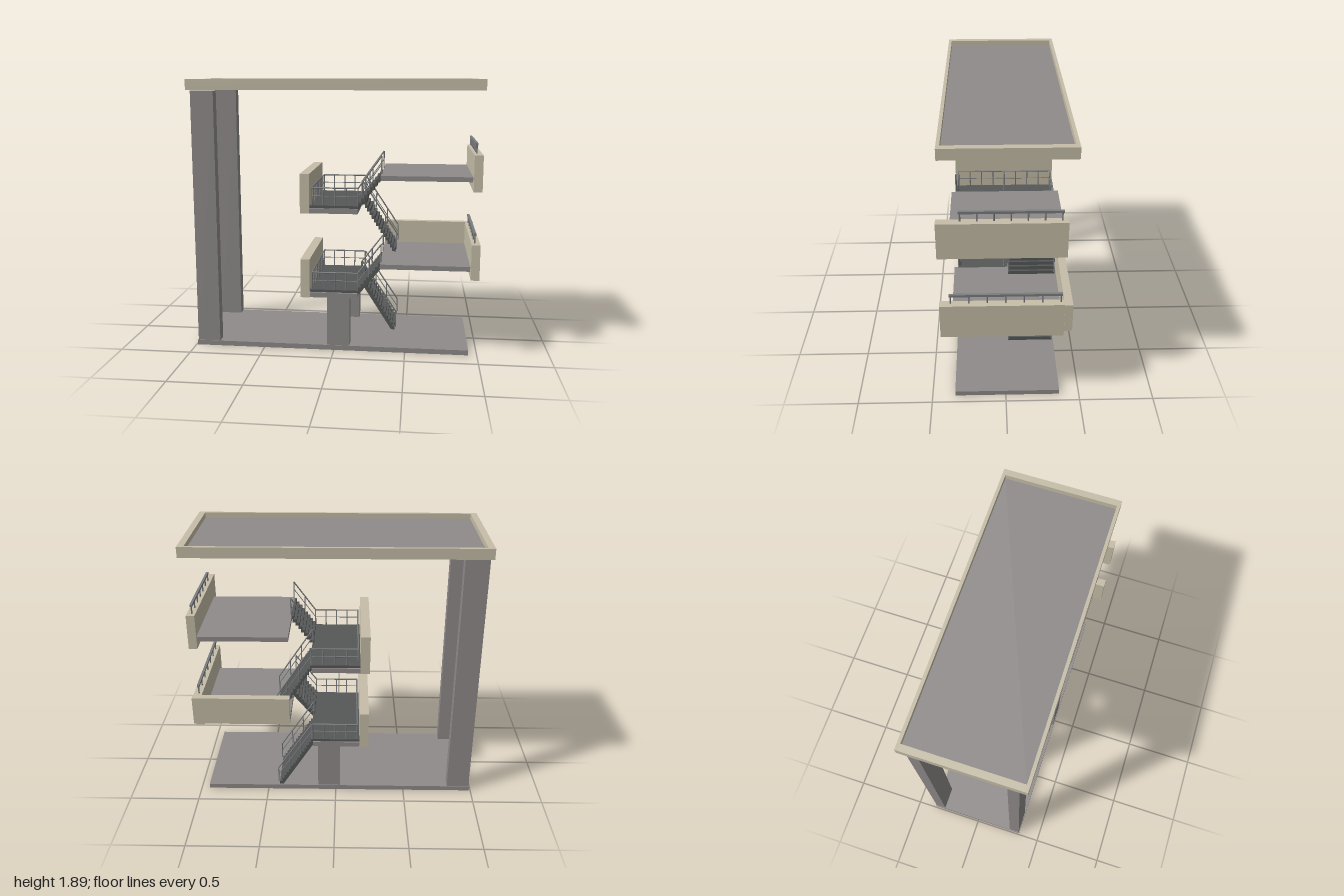
import * as THREE from 'three';

const mat = (name, color) => {
  const m = new THREE.MeshStandardMaterial({ color });
  m.name = name;
  return m;
};

export function createModel() {
  const root = new THREE.Group();
  root.name = 'stairBuilding';
  const concrete = mat('concreteGray', 0x8f8b8a);
  const cladding = mat('sandCladding', 0xc6bea8);
  const darkStep = mat('darkStep', 0x565858);
  const metal = mat('railMetal', 0x7b7d7f);

  // Box from its extents
  const box = (name, material, [x0, x1], [y0, y1], [z0, z1], parent = root) => {
    const mesh = new THREE.Mesh(new THREE.BoxGeometry(x1 - x0, y1 - y0, z1 - z0), material);
    mesh.position.set((x0 + x1) / 2, (y0 + y1) / 2, (z0 + z1) / 2);
    mesh.name = name;
    parent.add(mesh);
    return mesh;
  };

  // Round bar between two points
  const bar = (name, a, b, r, parent) => {
    const p = new THREE.Vector3(...a), q = new THREE.Vector3(...b);
    const dir = q.clone().sub(p);
    const mesh = new THREE.Mesh(new THREE.CylinderGeometry(r, r, dir.length(), 8), metal);
    mesh.position.copy(p).add(q).multiplyScalar(0.5);
    mesh.quaternion.setFromUnitVectors(new THREE.Vector3(0, 1, 0), dir.normalize());
    mesh.name = name;
    parent.add(mesh);
  };

  // Handrail, middle rail and posts following a floor line from a to b
  const railing = (a, b, posts, parent) => {
    const up = (p, h) => [p[0], p[1] + h, p[2]];
    bar('handrail', up(a, 0.123), up(b, 0.123), 0.005, parent);
    bar('middleRail', up(a, 0.065), up(b, 0.065), 0.003, parent);
    for (let i = 0; i < posts; i++) {
      const t = i / (posts - 1);
      const p = a.map((v, k) => v + (b[k] - v) * t);
      bar('railPost', p, up(p, 0.123), 0.004, parent);
    }
  };

  // Stair flight as an extruded stepped profile, with a flat or stepped underside
  const flight = (name, [x0, y0], [x1, y1], [z0, z1], n, flat, parent) => {
    const run = (x1 - x0) / n, rise = (y1 - y0) / n;
    const pts = [[x0, y0]];
    for (let i = 0; i < n; i++) {
      pts.push([x0 + i * run, y0 + (i + 1) * rise], [x0 + (i + 1) * run, y0 + (i + 1) * rise]);
    }
    const under = flat
      ? [[x1, y1 - rise * 1.5], [x0 + run * 0.5, y0 - rise]]
      : pts.map(([x, y]) => [x + run * 0.5, y - rise * 0.8]).reverse();
    const shape = new THREE.Shape(pts.concat(under).map(([x, y]) => new THREE.Vector2(x, y)));
    const mesh = new THREE.Mesh(
      new THREE.ExtrudeGeometry(shape, { depth: z1 - z0, bevelEnabled: false }), darkStep);
    mesh.position.z = z0;
    mesh.name = name;
    parent.add(mesh);
  };

  // Ground slab and tall columns
  box('groundSlab', concrete, [-0.99, 0.94], [0, 0.035], [-0.365, 0.345]);
  for (const z of [[0.265, 0.34], [-0.36, -0.285]]) {
    box('tallColumn', concrete, [-0.985, -0.825], [0.035, 1.815], z);
  }
  // Short columns under the first landing
  box('frontLandingColumn', concrete, [-0.05, 0.11], [0.035, 0.385], [0.26, 0.34]);
  box('backLandingColumn', concrete, [-0.03, 0.13], [0.035, 0.385], [-0.36, -0.285]);

  // Roof tray: soffit, raised rim and sunken deck
  const roof = new THREE.Group();
  roof.name = 'roof';
  root.add(roof);
  box('roofSoffit', cladding, [-1, 1], [1.82, 1.84], [-0.41, 0.395], roof);
  box('roofDeck', concrete, [-0.955, 0.955], [1.84, 1.855], [-0.388, 0.373], roof);
  box('roofRimFront', cladding, [-1, 1], [1.84, 1.892], [0.373, 0.395], roof);
  box('roofRimBack', cladding, [-1, 1], [1.84, 1.892], [-0.41, -0.388], roof);
  for (const x of [[-1, -0.955], [0.955, 1]]) {
    box('roofRimSide', cladding, x, [1.84, 1.892], [-0.388, 0.373], roof);
  }

  // Two storeys of landing, stairs and floor
  const storeys = [
    { base: 0.035, floor: 0.635, landing: 0.435, flat: true, rail: [-0.355, 0.36] },
    { base: 0.635, floor: 1.25, landing: 1.035, flat: false, rail: [-0.34, 0.285] },
  ];
  storeys.forEach(({ base, floor, landing, flat, rail }, level) => {
    const g = new THREE.Group();
    g.name = level ? 'upperStorey' : 'lowerStorey';
    root.add(g);

    // Floor slab, end parapet and its top rail
    box('floorSlab', concrete, [0.32, 0.935], [floor - 0.033, floor], [-0.365, 0.35], g);
    const top = level ? 1.403 : 0.803;
    box('endParapet', cladding, [0.935, 0.993], [top - 0.243, top], [-0.368, 0.42], g);
    box('parapetRail', metal, [0.95, 0.967], [top + 0.052, top + 0.068], rail, g);
    for (let i = 0; i < 7; i++) {
      const z = rail[0] + 0.01 + (rail[1] - rail[0] - 0.02) * i / 6;
      bar('parapetPost', [0.958, top, z], [0.958, top + 0.055, z], 0.005, g);
    }

    // Landing with dark cover and end parapet
    box('landingSlab', concrete, [-0.17, 0.165], [landing - 0.053, landing - 0.018], [-0.365, 0.34], g);
    box('landingCover', darkStep, [-0.17, 0.17], [landing - 0.018, landing], [-0.355, 0.325], g);
    box('landingParapet', cladding, [-0.235, -0.17], [landing - 0.055, landing + 0.22], [-0.368, 0.342], g);

    // Landing railings on three sides
    for (const z of [0.32, -0.35]) railing([-0.155, landing, z], [0.165, landing, z], 5, g);
    railing([-0.155, landing, -0.35], [-0.155, landing, 0.32], 9, g);

    // Back flight up to the landing, front flight on to the floor
    flight('backFlight', [0.415, base], [0.16, landing], [-0.355, -0.03], 15, flat, g);
    flight('frontFlight', [0.165, landing], [0.325, floor], [-0.01, 0.325], 8, flat, g);
    for (const z of [-0.35, -0.035]) railing([0.422, base + 0.02, z], [0.17, landing, z], 4, g);
    for (const z of [-0.005, 0.32]) railing([0.165, landing, z], [0.325, floor + 0.01, z], 3, g);
  });

  // Back parapet of the lower floor
  box('backParapet', cladding, [0.32, 0.997], [0.6, 0.803], [-0.42, -0.368]);

  return root;
}
